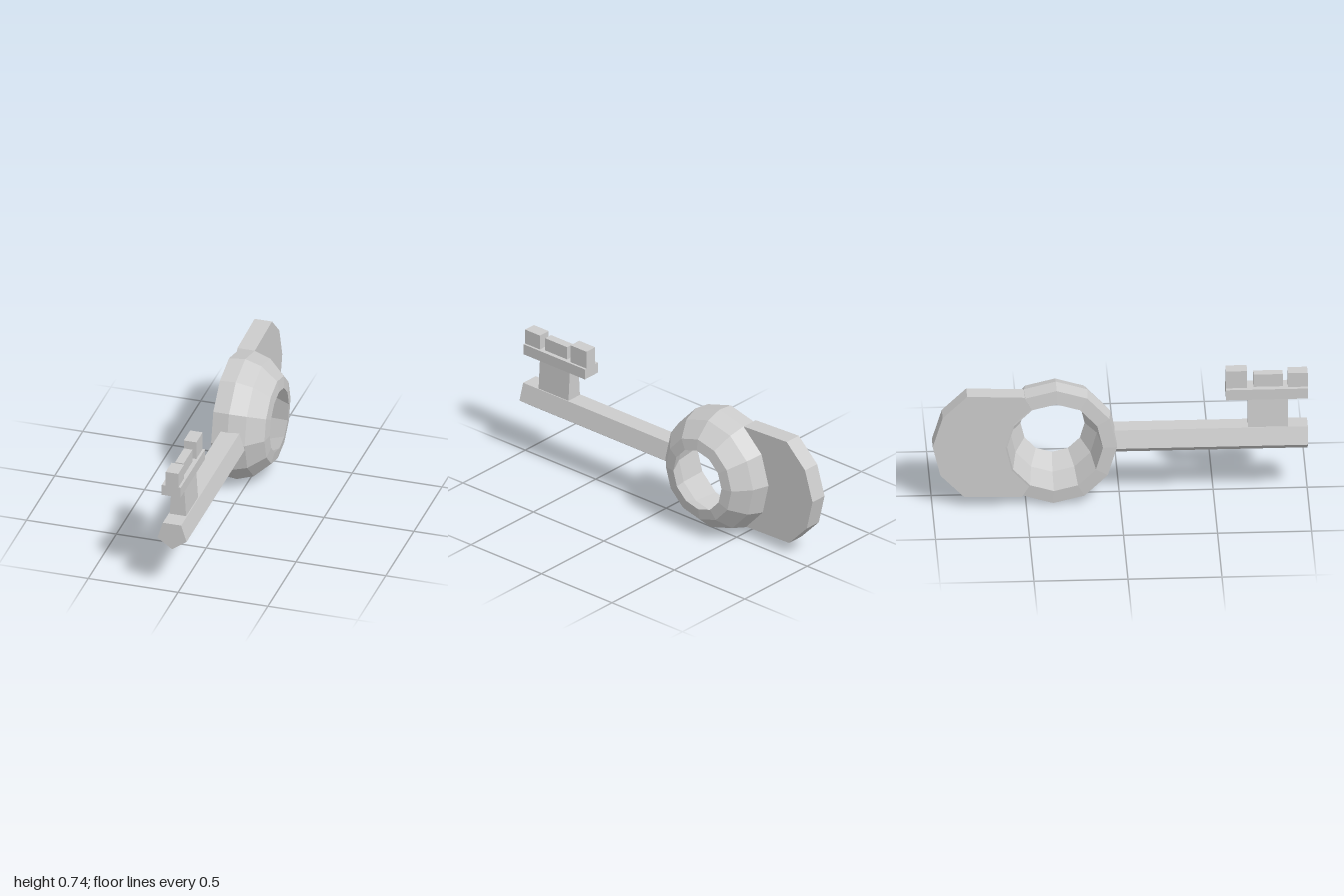
import * as THREE from 'three';

const material = new THREE.MeshStandardMaterial({ color: 0xcccccc, flatShading: true });

function addMesh(group, name, geometry) {
  const mesh = new THREE.Mesh(geometry, material);
  mesh.name = name;
  group.add(mesh);
  return mesh;
}

// Box given by its extents along each axis
function addBox(group, name, [x0, x1], [y0, y1], [z0, z1]) {
  const box = new THREE.BoxGeometry(x1 - x0, y1 - y0, z1 - z0);
  box.translate((x0 + x1) / 2, (y0 + y1) / 2, (z0 + z1) / 2);
  return addMesh(group, name, box);
}

const toShape = (points) => new THREE.Shape(points.map(([x, y]) => new THREE.Vector2(x, y)));

export function createModel() {
  const group = new THREE.Group();
  const centreY = 0.348, centreZ = -0.347, squash = 0.98;
  const twist = THREE.MathUtils.degToRad(1.5);

  // Bowl-shaped ring: closed profile of [radius, x], turned in twelve steps
  const profile = [
    [0.26, -0.143], [0.336, -0.135], [0.346, -0.045], [0.317, 0.046], [0.237, 0.132],
    [0.174, 0.142], [0.235, 0.03], [0.26, -0.143],
  ].map(([r, x]) => new THREE.Vector2(r, x));
  const ring = new THREE.LatheGeometry(profile, 12, twist);
  ring.rotateZ(-Math.PI / 2);
  ring.scale(1, 1, squash);
  ring.translate(0, centreY, centreZ);
  addMesh(group, 'bowRing', ring);

  // Rounded plate behind the ring, its inner edge following the ring wall
  const outline = [
    [0.51, 0.652], [0.815, 0.665], [0.945, 0.54], [0.998, 0.367],
    [0.957, 0.195], [0.832, 0.065], [0.523, 0.057],
  ];
  for (let k = -2; k <= 2; k++) {
    const a = twist + k * Math.PI / 6;
    outline.push([-centreZ + 0.265 * squash * Math.cos(a), centreY + 0.265 * Math.sin(a)]);
  }
  const plate = new THREE.ExtrudeGeometry(toShape(outline), { depth: 0.097, bevelEnabled: false });
  plate.rotateY(Math.PI / 2);
  plate.translate(-0.142, 0, 0);
  addMesh(group, 'bowPlate', plate);

  // Five-sided shaft
  const section = [[-0.115, 0.318], [-0.034, 0.26], [0.047, 0.318], [0.017, 0.413], [-0.085, 0.413]];
  const shaft = new THREE.ExtrudeGeometry(toShape(section), { depth: 1.035, bevelEnabled: false });
  shaft.translate(0, 0, -0.035);
  addMesh(group, 'shaft', shaft);

  // Tapered neck between shaft and crossbar
  const neckSide = [[-0.08, 0.41], [0.012, 0.41], [0.001, 0.585], [-0.069, 0.585]];
  const neck = new THREE.ExtrudeGeometry(toShape(neckSide), { depth: 0.212, bevelEnabled: false });
  neck.translate(0, 0, 0.683);
  addMesh(group, 'bitNeck', neck);

  // Crossbar and its three teeth
  addBox(group, 'bitBar', [-0.091, 0.014], [0.583, 0.643], [0.565, 1]);
  addBox(group, 'frontTooth', [-0.069, 0.001], [0.643, 0.726], [0.895, 1]);
  addBox(group, 'middleTooth', [-0.058, -0.01], [0.643, 0.716], [0.712, 0.868]);
  addBox(group, 'rearTooth', [-0.069, 0.001], [0.643, 0.744], [0.565, 0.678]);

  return group;
}
